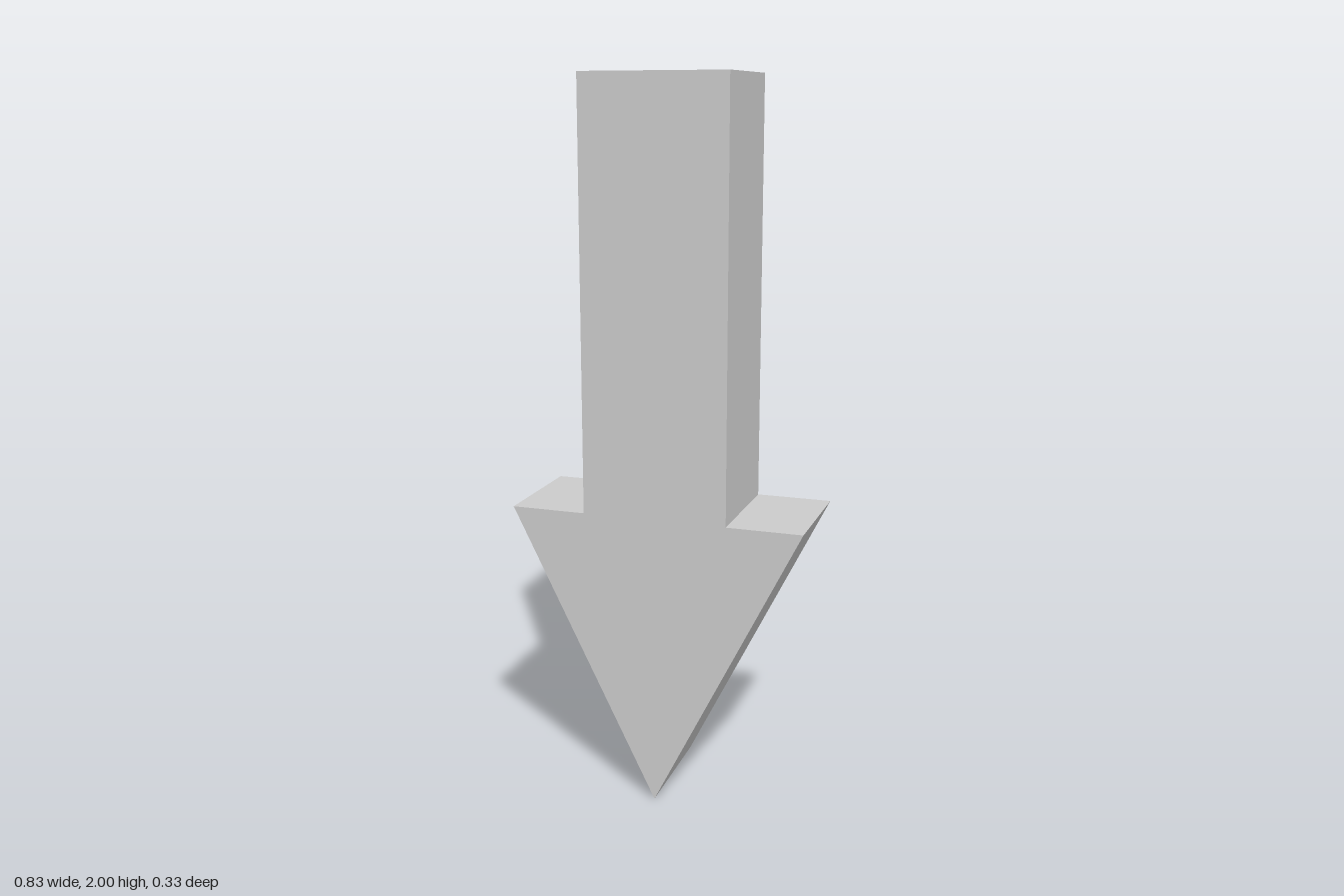
import * as THREE from 'three';

const SHAFT_HALF = 0.203;  // half width of the shaft
const HEAD_HALF = 0.414;   // half width of the head
const HEAD_TOP = 0.83;     // height of the shoulders
const HEIGHT = 2;
const DEPTH = 0.332;

export function createModel() {
  const group = new THREE.Group();
  group.name = 'downArrow';

  // Outline, counter-clockwise from the tip
  const outline = new THREE.Shape([
    [0, 0],
    [HEAD_HALF, HEAD_TOP],
    [SHAFT_HALF, HEAD_TOP],
    [SHAFT_HALF, HEIGHT],
    [-SHAFT_HALF, HEIGHT],
    [-SHAFT_HALF, HEAD_TOP],
    [-HEAD_HALF, HEAD_TOP],
  ].map(([x, y]) => new THREE.Vector2(x, y)));

  // Solid arrow, centred in depth
  const geometry = new THREE.ExtrudeGeometry(outline, { depth: DEPTH, bevelEnabled: false });
  geometry.translate(0, 0, -DEPTH / 2);

  const material = new THREE.MeshStandardMaterial({ color: 0xcccccc, flatShading: true });
  const arrow = new THREE.Mesh(geometry, material);
  arrow.name = 'arrow';
  group.add(arrow);
  return group;
}
